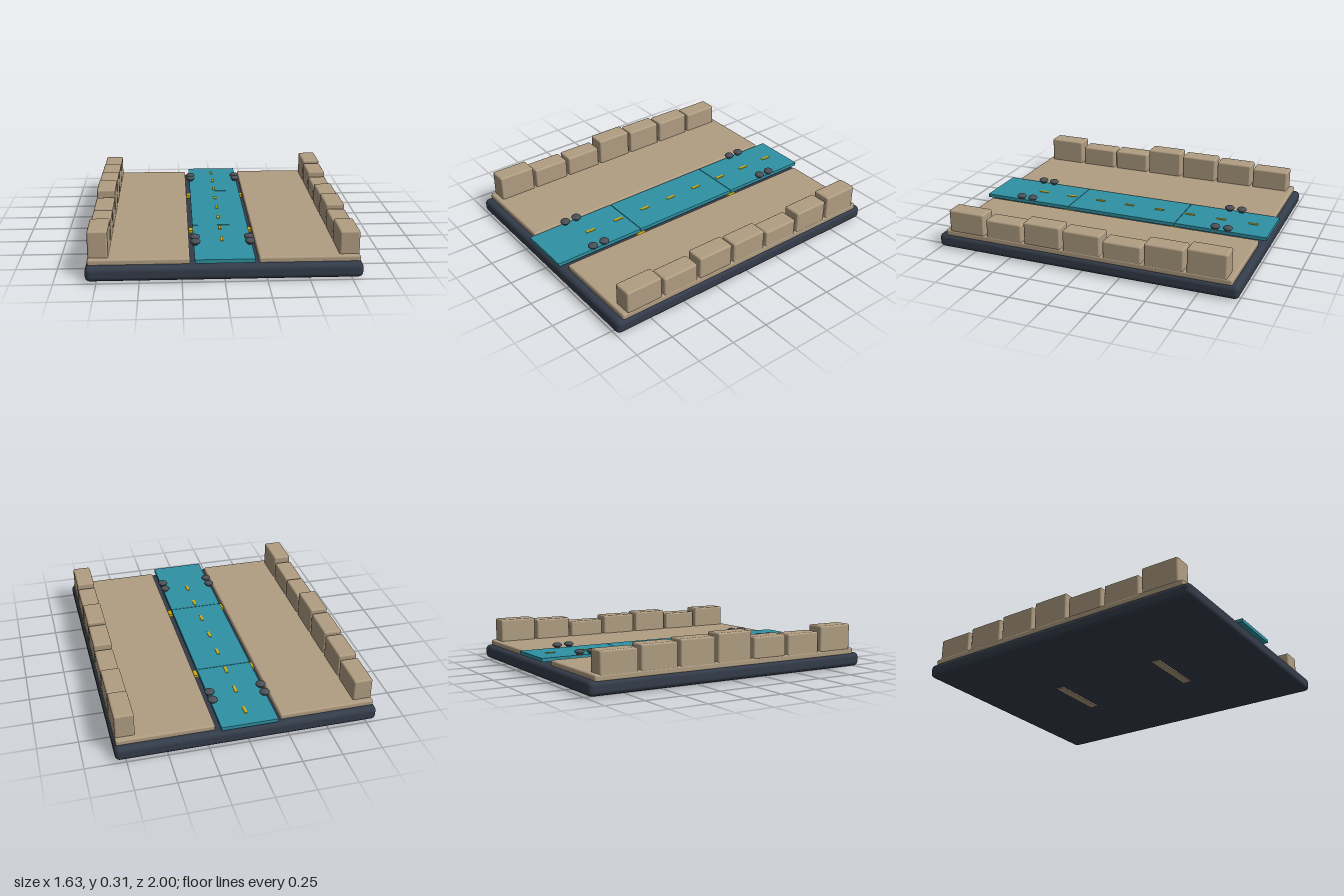
import * as THREE from 'three';
import { RoundedBoxGeometry } from 'three/addons/geometries/RoundedBoxGeometry.js';

const material = (name, color) => {
  const m = new THREE.MeshStandardMaterial({ color });
  m.name = name;
  return m;
};

export function createModel() {
  const model = new THREE.Group();
  model.name = 'floatingRoadSection';
  const slate = material('slate', 0x343c4a);
  const sand = material('sand', 0xb09d82);
  const teal = material('teal', 0x2f92a3);
  const yellow = material('yellow', 0xd0aa10);
  const iron = material('iron grey', 0x4b5158);

  const add = (name, geometry, mat, x, y, z) => {
    const mesh = new THREE.Mesh(geometry, mat);
    mesh.name = name;
    mesh.position.set(x, y, z);
    model.add(mesh);
    return mesh;
  };
  // Box given by its centre in x and z and its bottom and top heights
  const box = (name, mat, w, d, y0, y1, x, z, r = 0) => add(
    name,
    r ? new RoundedBoxGeometry(w, y1 - y0, d, 3, r) : new THREE.BoxGeometry(w, y1 - y0, d),
    mat, x, (y0 + y1) / 2, z);

  // Base slab
  box('base', slate, 1.63, 2, 0.008, 0.098, 0, 0, 0.03);

  // Ground pads either side of the road channel
  for (const s of [-1, 1]) box('groundPad', sand, 0.6, 1.91, 0.088, 0.13, s * 0.503, -0.003, 0.012);

  // Uneven edge blocks: [bottom, top] from front to back
  const rows = {
    1: [[0.12, 0.27], [0.105, 0.245], [0.12, 0.27], [0.097, 0.26], [0.097, 0.235], [0.115, 0.265], [0.092, 0.28]],
    '-1': [[0.12, 0.293], [0.105, 0.26], [0.12, 0.262], [0.097, 0.305], [0.097, 0.29], [0.115, 0.28], [0.097, 0.265]],
  };
  for (const s of [-1, 1]) {
    rows[s].forEach(([y0, y1], i) =>
      box('edgeBlock', sand, 0.12, 0.247, y0, y1, s * 0.741, (3 - i) * 0.266 - 0.003, 0.012));
  }

  // Road deck in three sections with narrow seams
  for (const [z0, z1] of [[-1, -0.387], [-0.383, 0.377], [0.381, 1]]) {
    box('roadSection', teal, 0.352, z1 - z0, 0.116, 0.139, 0, (z0 + z1) / 2);
  }

  // Centre-line dashes
  for (let i = 0; i < 8; i++) {
    box('laneDash', yellow, 0.018, 0.065, 0.138, 0.143, -0.003, -0.867 + i * 0.217);
  }

  // Joint bars under the deck and sill strips under the base
  for (const s of [-1, 1]) {
    box('jointBar', yellow, 0.4, 0.06, 0.097, 0.116, 0, s * 0.384);
    box('sillStrip', sand, 0.4, 0.055, 0, 0.01, 0, s * 0.384);
  }

  // Paired mooring bollards: stem with a flattened cap
  const cap = new THREE.SphereGeometry(0.032, 16, 10);
  cap.scale(1, 0.5, 1);
  const stem = new THREE.CylinderGeometry(0.015, 0.018, 0.02, 12);
  for (const x of [-0.167, 0.165]) {
    for (const z of [-0.743, -0.659, 0.656, 0.74]) {
      add('bollardCap', cap, iron, x, 0.159, z);
      add('bollardStem', stem, iron, x, 0.147, z);
    }
  }
  return model;
}
